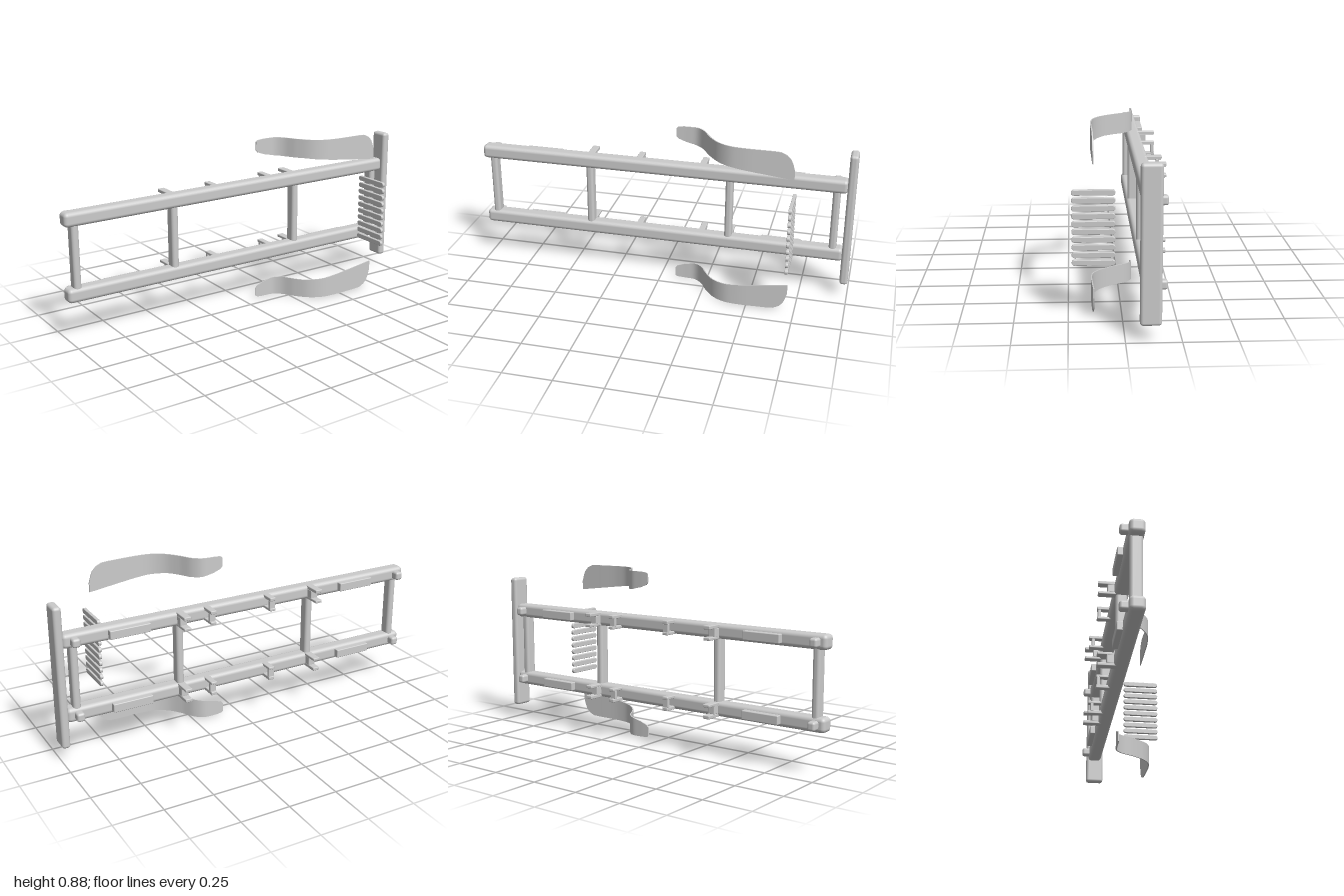
import * as THREE from 'three';
import { RoundedBoxGeometry } from 'three/addons/geometries/RoundedBoxGeometry.js';

const MID = 0.447; // height of the lengthwise symmetry plane
const mat = new THREE.MeshStandardMaterial({ color: 0xcccccc });
const sheetMat = new THREE.MeshStandardMaterial({ color: 0xcccccc, side: THREE.DoubleSide });

function add(parent, name, geometry, x = 0, y = 0, z = 0, material = mat) {
  const mesh = new THREE.Mesh(geometry, material);
  mesh.name = name;
  mesh.position.set(x, y, z);
  parent.add(mesh);
  return mesh;
}

// Box with rounded edges given by its extents
function block(parent, name, [x0, x1], [y0, y1], [z0, z1], r = 0.004) {
  const g = new RoundedBoxGeometry(x1 - x0, y1 - y0, z1 - z0, 3, r);
  return add(parent, name, g, (x0 + x1) / 2, (y0 + y1) / 2, (z0 + z1) / 2);
}

// Linear lookup in [x, value] pairs
function lookup(pairs, x) {
  for (let i = 1; i < pairs.length; i++) {
    const [a, va] = pairs[i - 1], [b, vb] = pairs[i];
    if (x <= b) return va + (vb - va) * Math.max(0, (x - a) / (b - a));
  }
  return pairs[pairs.length - 1][1];
}

// Curved fender: a thin sheet following an S curve, with a varying width
function fenderGeometry(side) {
  const path = new THREE.CatmullRomCurve3([
    [0.08, -0.07], [0.14, -0.071], [0.19, -0.066], [0.23, -0.035], [0.27, 0.03], [0.32, 0.09],
    [0.38, 0.125], [0.45, 0.136], [0.58, 0.135], [0.71, 0.131],
  ].map(([x, z]) => new THREE.Vector3(x, 0, z)));
  const outer = [[0.08, 0.875], [0.09, 0.882], [0.12, 0.885], [0.2, 0.886], [0.6, 0.882], [0.64, 0.88],
    [0.67, 0.866], [0.69, 0.845], [0.705, 0.81], [0.715, 0.765]];
  const inner = [[0.08, 0.83], [0.09, 0.818], [0.13, 0.803], [0.19, 0.79], [0.24, 0.786], [0.3, 0.786],
    [0.4, 0.777], [0.71, 0.74]];
  const cols = 72, rows = 4, t = 0.003;
  const geo = new THREE.BoxGeometry(1, 1, 1, cols, rows, 1);
  const p = geo.attributes.position;
  for (let i = 0; i < p.count; i++) {
    const u = p.getX(i) + 0.5;
    const c = path.getPointAt(u), d = path.getTangentAt(u);
    const v = p.getY(i) + 0.5;
    const lo = lookup(inner, c.x), hi = lookup(outer, c.x);
    const off = p.getZ(i) * 2 * t;
    const y = lo + (hi - lo) * v;
    p.setXYZ(i, c.x - d.z * off, side > 0 ? y : 2 * MID - y, c.z + d.x * off);
  }
  if (side < 0) {
    // Mirroring reverses the corners, so swap them back
    const idx = geo.index;
    for (let i = 0; i < idx.count; i += 3) {
      const a = idx.getX(i);
      idx.setX(i, idx.getX(i + 1));
      idx.setX(i + 1, a);
    }
  }
  geo.computeVertexNormals();
  return geo;
}

export function createModel() {
  const model = new THREE.Group();
  model.name = 'vehicleChassis';

  const frame = new THREE.Group();
  frame.name = 'frame';
  model.add(frame);

  for (const side of [1, -1]) {
    // Everything on one rail is laid out from its centre line
    const c = MID - 0.01 + side * 0.192;
    const span = (a, b) => (side > 0 ? [c + a, c + b] : [c - b, c - a]);
    const rail = new THREE.Group();
    rail.name = side > 0 ? 'upperRail' : 'lowerRail';
    frame.add(rail);
    block(rail, 'railBeam', [-1, 0.96], span(-0.036, 0.036), [-0.151, -0.077], 0.02);

    // Long spring pads
    for (const x of [[-0.77, -0.57], [0.525, 0.735]])
      block(rail, 'springPad', x, span(-0.022, 0.022), [-0.178, -0.14]);

    // Round end mounts
    for (const x of [-0.95, 0.905])
      block(rail, 'endMount', [x - 0.02, x + 0.02], span(-0.022, 0.022), [-0.19, -0.13], 0.012);

    // Forked brackets: two cheeks joined by a low saddle
    for (const [x, depth] of [[-0.4, -0.23], [0.355, -0.23]]) {
      const xs = [x - 0.019, x + 0.019];
      block(rail, 'bracketCheek', xs, span(0.018, 0.036), [depth, -0.115]);
      block(rail, 'bracketCheek', xs, span(-0.036, -0.021), [depth, -0.115]);
      block(rail, 'bracketSaddle', xs, span(-0.025, 0.02), [-0.185, -0.13]);
    }

    // Small brackets with a cross web
    for (const [x, depth] of [[-0.135, -0.21], [0.208, -0.22]]) {
      const xs = [x - 0.016, x + 0.016];
      block(rail, 'smallBracketCheek', xs, span(0.018, 0.036), [depth, -0.115]);
      block(rail, 'smallBracketCheek', xs, span(-0.036, -0.021), [depth, -0.115]);
      block(rail, 'smallBracketWeb', xs, span(-0.025, 0.02), [-0.206, -0.19], 0.003);
    }

    // Fenders
    add(model, side > 0 ? 'upperFender' : 'lowerFender', fenderGeometry(side), 0, 0, 0, sheetMat);
  }

  // Cross members
  for (const x of [-0.945, -0.4, 0.355, 0.905])
    block(frame, 'crossMember', [x - 0.019, x + 0.019], [0.23, 0.645], [-0.145, -0.085], 0.015);

  // Bumper
  block(model, 'bumper', [0.957, 0.999], [0.083, 0.81], [-0.16, -0.063], 0.015);

  // Grille of ten slim bars with round ends
  const grille = new THREE.Group();
  grille.name = 'grille';
  model.add(grille);
  const r = 0.0135, half = 0.1;
  const outline = new THREE.Shape();
  outline.absarc(half - r, 0, r - 0.003, -Math.PI / 2, Math.PI / 2);
  outline.absarc(-half + r, 0, r - 0.003, Math.PI / 2, Math.PI * 1.5);
  const barGeo = new THREE.ExtrudeGeometry(outline, {
    depth: 0.01, bevelThickness: 0.003, bevelSize: 0.003, bevelSegments: 3, curveSegments: 10,
  });
  barGeo.translate(0, 0, -0.005);
  barGeo.rotateY(Math.PI / 2);
  for (let i = 0; i < 10; i++) add(grille, 'grilleBar', barGeo, 0.708, 0.281 + i * 0.0368, 0.131);

  return model;
}
